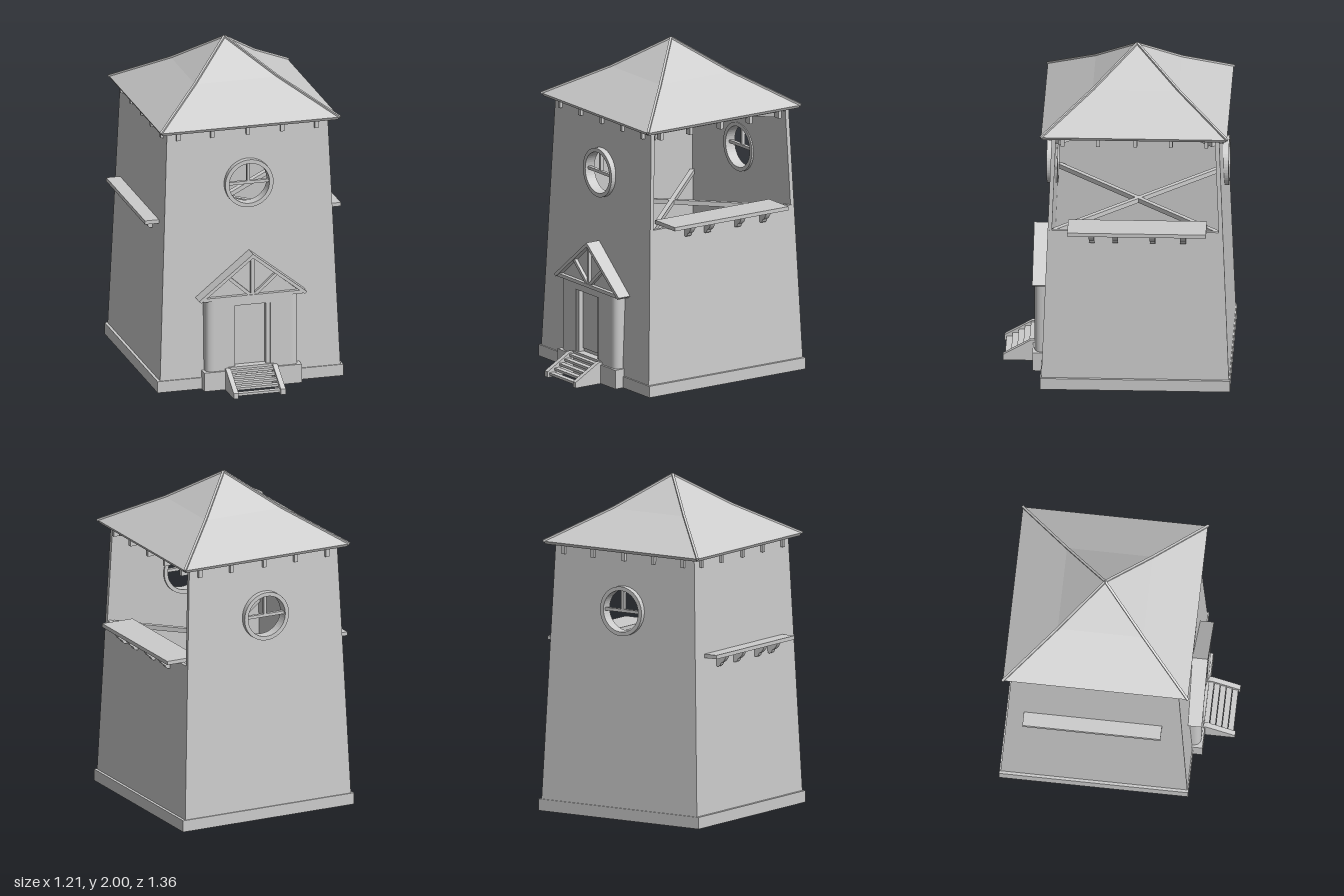
import * as THREE from 'three';

const plaster = new THREE.MeshStandardMaterial({ color: 0xcccccc });
plaster.name = 'pale grey';

const CENTER_Z = -0.117; // tower axis
const BASE = 0.5575, SLOPE = 0.0392; // wall half-width at height y is BASE - SLOPE * y
const half = (y) => BASE - SLOPE * y;

function add(parent, geometry, name) {
  const mesh = new THREE.Mesh(geometry, plaster);
  mesh.name = name;
  parent.add(mesh);
  return mesh;
}

// Box given by its limits on each axis
function box(parent, name, x0, x1, y0, y1, z0, z1) {
  const mesh = add(parent, new THREE.BoxGeometry(x1 - x0, y1 - y0, z1 - z0), name);
  mesh.position.set((x0 + x1) / 2, (y0 + y1) / 2, (z0 + z1) / 2);
}

// Rectangular beam between two points
function beam(parent, name, a, b, w, h = w) {
  const from = new THREE.Vector3(...a), to = new THREE.Vector3(...b);
  const mesh = add(parent, new THREE.BoxGeometry(w, h, from.distanceTo(to)), name);
  mesh.position.copy(from).add(to).multiplyScalar(0.5);
  const turn = new THREE.Matrix4().lookAt(to, from, new THREE.Vector3(0, 1, 0));
  mesh.quaternion.setFromRotationMatrix(turn);
}

function polygon(points) {
  return new THREE.Shape(points.map(([x, y]) => new THREE.Vector2(x, y)));
}

function extrude(shape, depth) {
  return new THREE.ExtrudeGeometry(shape, { depth, bevelEnabled: false, curveSegments: 24 });
}

// Leaning wall slab on the +z side of its group, optionally with a round window
function wall(parent, name, turn, top, hasWindow) {
  const side = new THREE.Group();
  side.name = name;
  side.rotation.y = turn;
  parent.add(side);
  const shape = polygon([[-half(0.04), 0.04], [half(0.04), 0.04], [half(top), top], [-half(top), top]]);
  if (hasWindow) {
    const hole = new THREE.Path();
    hole.absarc(0, 1.247, 0.135, 0, Math.PI * 2, true);
    shape.holes.push(hole);
  }
  const slab = add(side, extrude(shape, 0.025).translate(0, 0, -0.025), name + 'Slab');
  slab.rotation.x = -Math.atan(SLOPE);
  slab.position.z = BASE;
  if (hasWindow) roundWindow(side);
  return side;
}

function roundWindow(side) {
  const z = half(1.247);
  const ring = new THREE.Shape();
  ring.absarc(0, 0, 0.148, 0, Math.PI * 2, false);
  const hole = new THREE.Path();
  hole.absarc(0, 0, 0.124, 0, Math.PI * 2, true);
  ring.holes.push(hole);
  add(side, extrude(ring, 0.066), 'windowRing').position.set(0, 1.247, z - 0.036);
  box(side, 'windowCrossbar', -0.126, 0.126, 1.239, 1.257, z - 0.01, z + 0.012);
  box(side, 'windowUpright', -0.009, 0.009, 1.25, 1.373, z - 0.01, z + 0.012);
}

function buildTower() {
  const tower = new THREE.Group();
  tower.name = 'tower';
  tower.position.z = CENTER_Z;

  // Plinth ring and raised ground floor
  const X = 0.572, Z = 0.562, T = 0.035;
  const ring = polygon([[-X, -Z], [X, -Z], [X, Z], [-X, Z]]);
  ring.holes.push(polygon([[T - X, T - Z], [T - X, Z - T], [X - T, Z - T], [X - T, T - Z]]));
  add(tower, extrude(ring, 0.07).rotateX(-Math.PI / 2), 'plinth');
  box(tower, 'groundFloor', -0.54, 0.54, 0.095, 0.11, -0.54, 0.54);

  // Walls; the +x side is open above the platform
  const sides = [
    wall(tower, 'frontWall', 0, 1.605, true),
    wall(tower, 'leftWall', Math.PI / 2, 1.005, false),
    wall(tower, 'backWall', Math.PI, 1.605, true),
    wall(tower, 'rightWall', -Math.PI / 2, 1.605, false),
  ];
  box(sides[1], 'openingHeader', -0.49, 0.49, 1.58, 1.605, 0.47, 0.495);

  // Rafter tails under the eaves
  for (const side of sides) {
    for (const x of [-0.43, -0.22, 0, 0.21, 0.42]) {
      box(side, 'rafterTail', x - 0.011, x + 0.011, 1.545, 1.61, 0.475, 0.515);
    }
  }

  // Outer platforms on curved brackets
  const bracket = polygon([[0.5, 0.935], [0.535, 0.935]]);
  bracket.quadraticCurveTo(0.548, 0.94, 0.552, 0.957);
  bracket.quadraticCurveTo(0.575, 0.965, 0.59, 1.0);
  bracket.lineTo(0.5, 1.0);
  for (const s of [1, -1]) {
    const platform = new THREE.Group();
    platform.name = s > 0 ? 'leftPlatform' : 'rightPlatform';
    tower.add(platform);
    const inner = s > 0 ? 0.4 : 0.5;
    box(platform, 'platformBoard', Math.min(s * inner, s * 0.603), Math.max(s * inner, s * 0.603),
      1.002, 1.025, -0.42, 0.4);
    for (const z of [0.14, 0, -0.22, -0.4]) {
      const m = add(platform, extrude(bracket, 0.032), 'platformBracket');
      m.rotation.y = s > 0 ? 0 : Math.PI;
      m.position.z = z - CENTER_Z - s * 0.016;
    }
  }

  // Crossed tie beams at platform and eaves level
  for (const y of [0.985, 1.55]) {
    for (const s of [1, -1]) {
      const r = half(y) - 0.035;
      beam(tower, 'tieBeam', [-r, y, -s * r], [r, y, s * r], 0.028);
    }
  }
  return tower;
}

function buildRoof() {
  const roof = new THREE.Group();
  roof.name = 'roof';
  roof.position.z = CENTER_Z + 0.007;
  const profile = [[0, 1.978], [0.25, 1.784], [0.54, 1.597], [0.55, 1.615], [0.255, 1.8], [0, 1.992]];
  const points = profile.map(([r, y]) => new THREE.Vector2(r * Math.SQRT2, y));
  const shell = new THREE.LatheGeometry(points, 4, Math.PI / 4).toNonIndexed();
  shell.computeVertexNormals();
  add(roof, shell, 'roofShell');

  // Hip ridges
  const hip = [[0.552, 1.615], [0.255, 1.801], [0, 1.992]];
  for (const sx of [1, -1]) {
    for (const sz of [1, -1]) {
      for (let i = 0; i < 2; i++) {
        const [r0, y0] = hip[i], [r1, y1] = hip[i + 1];
        beam(roof, 'hipRidge', [sx * r0, y0, sz * r0], [sx * r1, y1, sz * r1], 0.014);
      }
    }
  }
  return roof;
}

function buildPorch() {
  const porch = new THREE.Group();
  porch.name = 'porch';

  // Plan with rounded front corners and a door recess (plan y is -z)
  const plan = polygon([[-0.285, -0.4], [-0.285, -0.44]]);
  plan.quadraticCurveTo(-0.285, -0.488, -0.235, -0.488);
  plan.lineTo(-0.13, -0.488);
  plan.lineTo(-0.13, -0.445);
  plan.lineTo(0.11, -0.445);
  plan.lineTo(0.11, -0.488);
  plan.lineTo(0.235, -0.488);
  plan.quadraticCurveTo(0.285, -0.488, 0.285, -0.44);
  plan.lineTo(0.285, -0.4);
  add(porch, extrude(plan, 0.56).rotateX(-Math.PI / 2), 'porchWalls');
  box(porch, 'doorLintel', -0.13, 0.11, 0.515, 0.56, 0.44, 0.488);
  box(porch, 'doorStep', -0.15, 0.13, 0, 0.135, 0.44, 0.495);
  box(porch, 'doorJambRight', -0.13, -0.105, 0.135, 0.515, 0.44, 0.48);
  box(porch, 'doorJambLeft', 0.085, 0.11, 0.135, 0.515, 0.44, 0.48);
  box(porch, 'door', -0.105, 0.085, 0.155, 0.51, 0.44, 0.452);
  for (const [x0, x1] of [[-0.3, -0.165], [0.145, 0.3]]) {
    box(porch, 'porchFooting', x0, x1, 0, 0.115, 0.4, 0.5);
  }

  // Gable roof with an open truss in front
  add(porch, extrude(polygon([[-0.3, 0.56], [0.3, 0.56], [0, 0.805]]), 0.075), 'gableFill').position.z = 0.395;
  const slopes = polygon([[-0.333, 0.565], [-0.318, 0.552], [0, 0.805], [0.318, 0.552], [0.333, 0.565], [0, 0.83]]);
  add(porch, extrude(slopes, 0.11), 'gableRoof').position.z = 0.39;
  box(porch, 'trussTie', -0.305, 0.305, 0.555, 0.576, 0.46, 0.495);
  box(porch, 'trussKingPost', -0.01, 0.01, 0.57, 0.8, 0.46, 0.49);
  for (const s of [1, -1]) {
    beam(porch, 'trussStrut', [s * 0.015, 0.575, 0.478], [s * 0.145, 0.69, 0.478], 0.024, 0.02);
  }
  return porch;
}

function buildStairs() {
  const stairs = new THREE.Group();
  stairs.name = 'stairs';
  // Sloping cheeks
  const cheek = polygon([[-0.49, 0], [-0.49, 0.13], [-0.515, 0.13], [-0.68, 0.035], [-0.68, 0]]);
  for (const x of [-0.172, 0.118]) {
    add(stairs, extrude(cheek, 0.03).rotateY(Math.PI / 2), 'stairCheek').position.x = x;
  }
  // Plank treads
  for (let i = 0; i < 5; i++) {
    const z = 0.668 - i * 0.036, y = 0.028 + i * 0.023;
    box(stairs, 'stairTread', -0.145, 0.122, y - 0.015, y, z - 0.034, z);
  }
  return stairs;
}

export function createModel() {
  const model = new THREE.Group();
  model.name = 'watchTower';
  model.add(buildTower(), buildRoof(), buildPorch(), buildStairs());
  return model;
}
